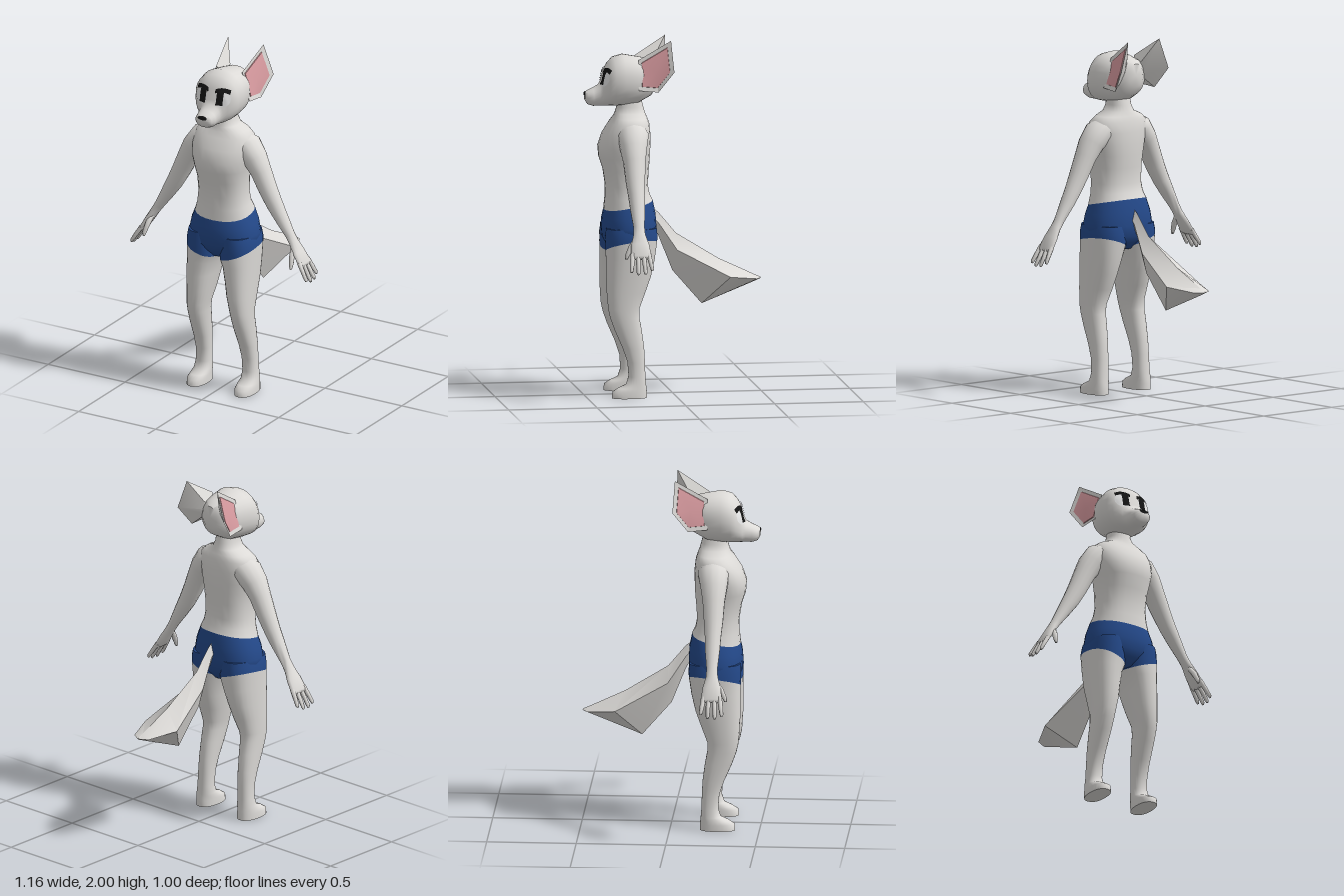
import * as THREE from 'three';
import { toCreasedNormals } from 'three/addons/utils/BufferGeometryUtils.js';

const V = (x, y, z) => new THREE.Vector3(x, y, z);
const mat = (name, color) => Object.assign(new THREE.MeshStandardMaterial({ color }), { name });

// Closed skin through equal-sized loops of points, capped at both ends and always facing outward
function loft(rings, crease = 1) {
  const n = rings[0].length, pos = [], idx = [];
  const add = (p) => pos.push(p.x, p.y, p.z) / 3 - 1;
  rings.forEach((r) => r.forEach(add));
  for (let i = 0; i < rings.length - 1; i++)
    for (let j = 0; j < n; j++) {
      const a = i * n + j, b = i * n + (j + 1) % n;
      idx.push(a, b, a + n, b, b + n, a + n);
    }
  for (const [i, flip] of [[0, true], [rings.length - 1, false]]) {
    const c = add(rings[i].reduce((s, p) => s.add(p), V(0, 0, 0)).divideScalar(n));
    for (let j = 0; j < n; j++) {
      const a = i * n + j, b = i * n + (j + 1) % n;
      idx.push(...(flip ? [b, a, c] : [a, b, c]));
    }
  }
  const at = (k) => V(pos[3 * k], pos[3 * k + 1], pos[3 * k + 2]);
  let volume = 0;
  for (let k = 0; k < idx.length; k += 3) volume += at(idx[k]).dot(at(idx[k + 1]).cross(at(idx[k + 2])));
  if (volume < 0) idx.reverse();
  const g = new THREE.BufferGeometry();
  g.setAttribute('position', new THREE.Float32BufferAttribute(pos, 3));
  g.setIndex(idx);
  return toCreasedNormals(g, crease);
}

// Rounded loop of (u, v) pairs; power above 2 squares it off
function oval(n, power, fn) {
  return Array.from({ length: n }, (_, i) => {
    const t = (i / n) * Math.PI * 2, c = Math.cos(t), s = Math.sin(t);
    return fn(Math.sign(c) * Math.abs(c) ** (2 / power), Math.sign(s) * Math.abs(s) ** (2 / power));
  });
}

// Level body section: height, x range, z front and back, optional tilts
function section([y, x0, x1, zf, zb, tiltX = 0, tiltZ = 0], s = 1) {
  const cx = (x0 + x1) / 2, cz = (zf + zb) / 2;
  return oval(24, 2.3, (u, v) => {
    const dx = u * (x1 - x0) / 2, dz = v * (zf - zb) / 2;
    return V(s * (cx + dx), y + tiltX * dx + tiltZ * dz, cz + dz);
  });
}

// Limb along points [x, y, z, thickness, depth], sections square to the path in the xy plane
function limb(pts, s, n = 14) {
  return loft(pts.map(([x, y, z, a, b], i) => {
    const p = pts[Math.max(i - 1, 0)], q = pts[Math.min(i + 1, pts.length - 1)];
    const d = V(q[0] - p[0], q[1] - p[1], 0).normalize();
    return oval(n, 2, (u, v) => V(s * (x - d.y * a * u), y + d.x * a * u, z + b * v));
  }), 1.2);
}

export function createModel() {
  const root = new THREE.Group();
  root.name = 'standingFoxFigure';
  const fur = mat('paleFur', 0xdcdad7), blue = mat('blueCloth', 0x24498a), pink = mat('innerEarPink', 0xdb9da2);
  const black = mat('black', 0x141414), white = mat('eyeWhite', 0xf4f4f4);
  const put = (name, geometry, material) => {
    const m = new THREE.Mesh(geometry, material);
    m.name = name;
    root.add(m);
    return m;
  };

  // Torso and shorts share the tilted waist section
  const mid = ([y, w, ...rest]) => section([y, -w, w, ...rest]);
  const waist = [1.07, 0.17, 0.386, 0.115, 0, -0.2];
  put('torso', loft([
    [1.68, 0.06, 0.31, 0.18], [1.62, 0.063, 0.315, 0.165], [1.585, 0.08, 0.325, 0.155], [1.56, 0.14, 0.335, 0.145],
    [1.53, 0.175, 0.355, 0.135], [1.47, 0.18, 0.395, 0.128], [1.4, 0.172, 0.42, 0.128], [1.34, 0.158, 0.415, 0.13],
    [1.27, 0.147, 0.392, 0.136], [1.18, 0.145, 0.378, 0.142], [1.12, 0.153, 0.38, 0.132, 0, -0.1], waist,
  ].map(mid)), fur);
  put('shorts', loft([
    waist, [1.01, 0.193, 0.396, 0.1, 0, -0.1], [0.95, 0.206, 0.4, 0.095], [0.89, 0.207, 0.396, 0.1],
    [0.85, 0.15, 0.375, 0.125], [0.81, 0.08, 0.34, 0.16],
  ].map(mid)), blue);

  for (const s of [1, -1]) {
    const side = s > 0 ? 'left' : 'right';

    // Leg, with the upper part inside the shorts
    const hem = [0.845, 0.004, 0.211, 0.393, 0.103, 0.35, -0.13];
    const ring = (r) => section(r, s);
    put(side + 'ShortsLeg', loft([[0.95, 0.01, 0.2, 0.39, 0.105], [0.9, 0.004, 0.208, 0.395, 0.1, 0.15], hem].map(ring)), blue);
    put(side + 'Leg', loft([
      hem, [0.77, 0.025, 0.208, 0.392, 0.118, 0.15], [0.68, 0.043, 0.205, 0.392, 0.14], [0.59, 0.058, 0.202, 0.39, 0.173],
      [0.5, 0.08, 0.199, 0.383, 0.208], [0.45, 0.087, 0.197, 0.372, 0.208], [0.38, 0.092, 0.196, 0.347, 0.195],
      [0.28, 0.1, 0.194, 0.303, 0.182], [0.2, 0.105, 0.193, 0.276, 0.178], [0.12, 0.107, 0.196, 0.27, 0.176],
      [0.075, 0.104, 0.202, 0.285, 0.172], [0.055, 0.102, 0.206, 0.33, 0.17], [0.035, 0.1, 0.21, 0.362, 0.168],
      [0, 0.1, 0.21, 0.365, 0.168],
    ].map(ring)), fur);

    // Arm and palm
    put(side + 'Arm', limb([
      [0.09, 1.5, 0.24, 0.06, 0.075], [0.145, 1.47, 0.242, 0.078, 0.088], [0.195, 1.41, 0.248, 0.07, 0.076],
      [0.235, 1.34, 0.25, 0.06, 0.063], [0.28, 1.245, 0.252, 0.054, 0.055], [0.325, 1.16, 0.252, 0.048, 0.046],
      [0.365, 1.095, 0.252, 0.04, 0.042], [0.425, 1.0, 0.253, 0.027, 0.031], [0.45, 0.962, 0.255, 0.024, 0.034],
      [0.483, 0.91, 0.256, 0.021, 0.052], [0.522, 0.85, 0.256, 0.016, 0.06], [0.53, 0.837, 0.256, 0.009, 0.055],
    ], s), fur);

    // Fingers and thumb
    [[0.212, 0.2, 0.775], [0.241, 0.238, 0.757], [0.271, 0.278, 0.755], [0.301, 0.316, 0.768]].forEach(([z0, z1, y], i) => {
      const x = 0.575 - (y - 0.757) * 0.5;
      put(side + 'Finger' + (i + 1), limb([
        [0.513, 0.865, z0, 0.013, 0.014], [0.54, 0.822, (z0 + z1) / 2, 0.012, 0.013],
        [x - 0.004, y + 0.012, z1, 0.01, 0.011], [x, y, z1, 0.005, 0.006],
      ], s, 8), fur);
    });
    put(side + 'Thumb', limb([
      [0.458, 0.945, 0.27, 0.016, 0.018], [0.468, 0.9, 0.302, 0.016, 0.018],
      [0.476, 0.855, 0.325, 0.013, 0.014], [0.478, 0.83, 0.333, 0.007, 0.008],
    ], s, 8), fur);

    // Ear: rim tapering back into the skull, with a shallow pink hollow
    const rim = [V(0.085, 1.89, 0.205), V(0.115, 2, 0.025), V(0.175, 1.83, 0.015), V(0.145, 1.715, 0.1), V(0.135, 1.725, 0.21)];
    const centre = V(0.133, 1.826, 0.118);
    const loop = (k, dx, c = centre) => rim.map((p) => {
      const q = p.clone().sub(centre).multiplyScalar(k).add(c);
      return V(s * (q.x + dx), q.y, q.z);
    });
    put(side + 'Ear', loft([loop(0.3, 0, V(0.06, 1.82, 0.13)), loop(1, 0), loop(0.8, -0.006)], 0.5), fur);
    put(side + 'InnerEar', loft([loop(0.79, -0.007), loop(0.77, -0.002)], 0.5), pink);
  }

  // Head: sections from the back of the skull to the nose [z, half width, top, bottom]
  const head = put('head', loft([
    [0.09, 0.05, 1.86, 1.73], [0.125, 0.095, 1.885, 1.68], [0.2, 0.13, 1.9, 1.64], [0.28, 0.141, 1.915, 1.63],
    [0.335, 0.139, 1.9, 1.628], [0.365, 0.122, 1.868, 1.628], [0.385, 0.1, 1.835, 1.628], [0.4, 0.078, 1.775, 1.628],
    [0.415, 0.066, 1.748, 1.628], [0.45, 0.06, 1.728, 1.628], [0.48, 0.053, 1.715, 1.638], [0.494, 0.035, 1.705, 1.66],
  ].map(([z, w, t, b]) => oval(28, 2.25, (u, v) => V(u * w, (t + b) / 2 + v * (t - b) / 2, z))), 0.9), fur);

  // Painted features are thin patches laid on the face
  head.updateMatrixWorld();
  const ray = new THREE.Raycaster();
  const patch = (name, geometry, x, y, lift, material) => {
    const p = geometry.translate(x, y, 0).attributes.position;
    for (let i = 0; i < p.count; i++) {
      ray.set(V(p.getX(i), p.getY(i), 1), V(0, 0, -1));
      const hit = ray.intersectObject(head)[0];
      p.setZ(i, (hit ? hit.point.z : 0.35) + lift);
    }
    geometry.computeVertexNormals();
    put(name, geometry, material);
  };
  const disc = (rx, ry) => new THREE.RingGeometry(0.01, 1, 20, 5).scale(rx, ry, 1);
  for (const s of [1, -1]) {
    const side = s > 0 ? 'left' : 'right';
    patch(side + 'EyeWhite', disc(0.042, 0.043), s * 0.07, 1.787, 0.003, white);
    patch(side + 'Pupil', new THREE.PlaneGeometry(0.04, 0.08, 6, 10), s * 0.054, 1.793, 0.006, black);
    const brow = new THREE.PlaneGeometry(0.084, 0.022, 12, 4), p = brow.attributes.position;
    for (let i = 0; i < p.count; i++) p.setY(i, p.getY(i) - 6 * p.getX(i) ** 2);
    patch(side + 'Brow', brow, s * 0.064, 1.837, 0.006, black);
  }
  patch('nose', disc(0.029, 0.012), 0, 1.697, 0.004, black);

  // Tail: diamond sections [top z, top y, bottom z, bottom y, side z, side y, half width]
  put('tail', loft([
    [0.12, 1.05, 0.12, 0.96, 0.12, 1.0, 0.015], [0.08, 1.02, 0.08, 0.89, 0.08, 0.96, 0.022],
    [-0.02, 0.9, 0, 0.69, -0.02, 0.81, 0.05], [-0.26, 0.752, -0.165, 0.5, -0.31, 0.66, 0.12],
    [-0.46, 0.658, -0.45, 0.614, -0.47, 0.638, 0.055], [-0.497, 0.642, -0.497, 0.634, -0.497, 0.638, 0.008],
  ].map(([tz, ty, bz, by, sz, sy, w]) => [V(0, ty, tz), V(w, sy, sz), V(0, by, bz), V(-w, sy, sz)]), 0.7), fur);

  return root;
}
